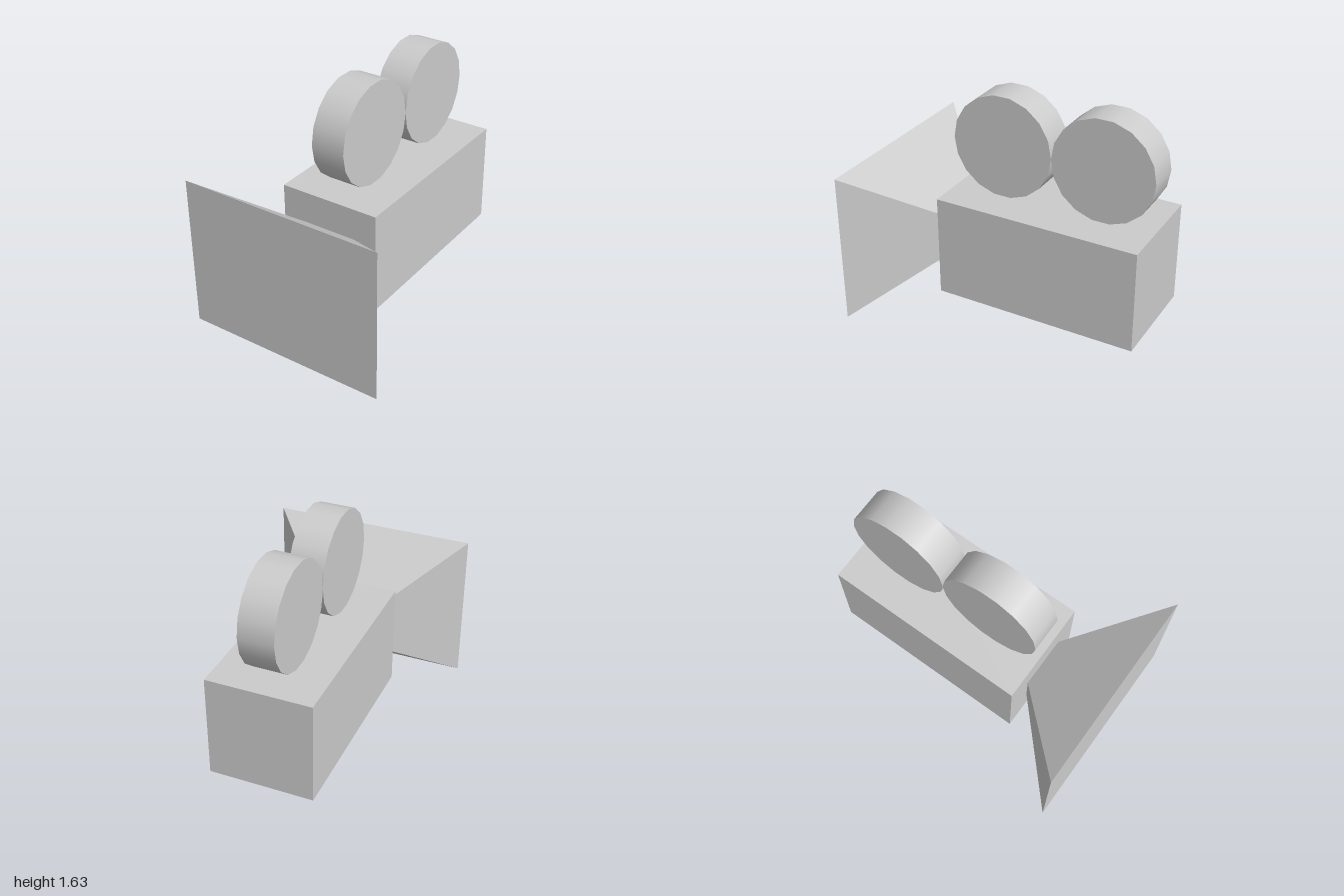
import * as THREE from 'three';

const U = 0.7273; // body width and height, reel diameter
const OFFSET_X = -0.012; // body and reels sit slightly to one side

export function createModel() {
  const model = new THREE.Group();
  model.name = 'movieCamera';
  const smooth = new THREE.MeshStandardMaterial({ color: 0xcccccc });
  const flat = new THREE.MeshStandardMaterial({ color: 0xcccccc, flatShading: true });

  const add = (name, geometry, material, x, y, z) => {
    const mesh = new THREE.Mesh(geometry, material);
    mesh.name = name;
    mesh.position.set(x, y, z);
    model.add(mesh);
  };

  // Camera body
  add('body', new THREE.BoxGeometry(U, U, 2 * U), flat, OFFSET_X, 0.182 + U / 2, -1 + U);

  // Two film reels standing on the body, axes along x
  const reel = new THREE.CylinderGeometry(U / 2, U / 2, U / 3, 18).rotateZ(Math.PI / 2);
  add('frontReel', reel, smooth, OFFSET_X, 1.276, -1 + 1.5 * U);
  add('backReel', reel, smooth, OFFSET_X, 1.276, -1 + 0.5 * U);

  // Lens hood: closed four-sided pyramid with its tip inside the body
  const hood = new THREE.ConeGeometry(Math.SQRT2, 1, 4, 1, false, Math.PI / 4)
    .rotateX(-Math.PI / 2)
    .scale(U, 0.75 * U, U);
  add('lensHood', hood, flat, 0, 0.75 * U, 1 - U / 2);

  return model;
}
